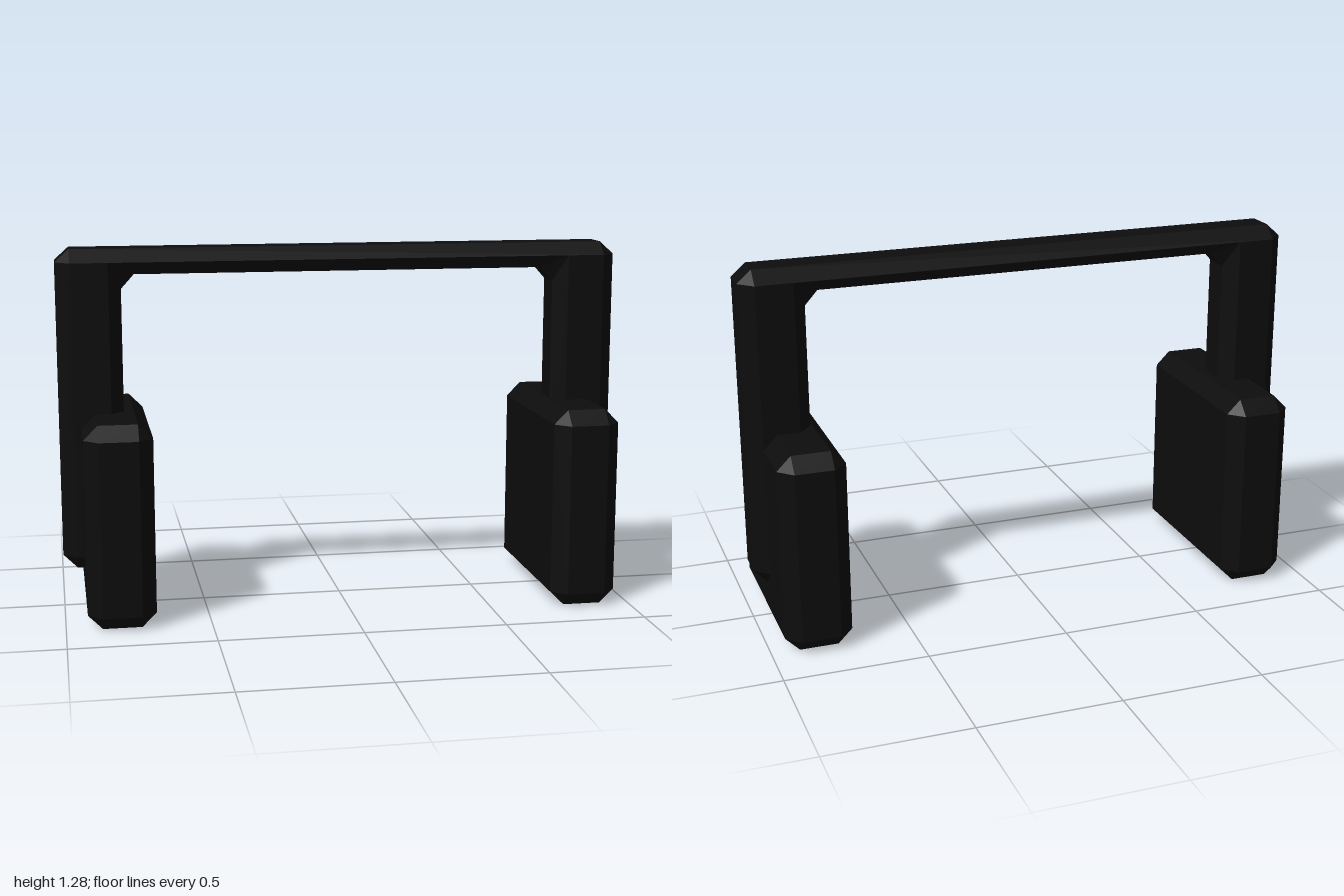
import * as THREE from 'three';
import { ConvexGeometry } from 'three/addons/geometries/ConvexGeometry.js';

const material = new THREE.MeshStandardMaterial({ color: 0x0d0d0d, flatShading: true });

// Box with every edge cut off at 45 degrees
function chamferedBox(w, h, d, c) {
  const points = [];
  for (const sx of [-1, 1]) for (const sy of [-1, 1]) for (const sz of [-1, 1]) {
    for (let axis = 0; axis < 3; axis++) {
      const inset = [c, c, c];
      inset[axis] = 0;
      points.push(new THREE.Vector3(
        sx * (w / 2 - inset[0]), sy * (h / 2 - inset[1]), sz * (d / 2 - inset[2])));
    }
  }
  return new ConvexGeometry(points);
}

// One-piece bevelled arch: the outline is wide in the middle layers and
// shrinks to the flat faces at the front and back
function archGeometry() {
  const wide = [[0.95, 1.28], [1, 1.235], [1, 0.2], [0.95, 0.15],
    [0.82, 0.15], [0.775, 0.2], [0.775, 1.14], [0.73, 1.19]];
  const face = [[0.95, 1.235], [0.95, 1.235], [0.95, 0.2], [0.95, 0.2],
    [0.82, 0.2], [0.82, 0.2], [0.82, 1.235], [0.82, 1.235]];
  const mirrored = half => [...half, ...[...half].reverse().map(([x, y]) => [-x, y])];
  const layers = [[face, -0.1], [wide, -0.05], [wide, 0.05], [face, 0.1]].map(
    ([half, z]) => mirrored(half).map(([x, y]) => new THREE.Vector3(x, y, z)));

  const positions = [];
  const tri = (a, b, c) => {
    if (new THREE.Triangle(a, b, c).getArea() < 1e-7) return;
    for (const p of [a, b, c]) positions.push(p.x, p.y, p.z);
  };
  const quad = (a, b, c, d) => { tri(a, b, c); tri(a, c, d); };

  // Bands between neighbouring layers
  for (let k = 0; k < 3; k++) {
    const [back, front] = [layers[k], layers[k + 1]];
    back.forEach((p, i) => {
      const j = (i + 1) % back.length;
      quad(p, front[i], front[j], back[j]);
    });
  }
  // Flat front and back of both arms
  for (const corners of [[1, 2, 4, 6], [9, 11, 13, 14]]) {
    quad(...corners.map(i => layers[0][i]));
    quad(...corners.map(i => layers[3][i]).reverse());
  }
  const geometry = new THREE.BufferGeometry();
  geometry.setAttribute('position', new THREE.Float32BufferAttribute(positions, 3));
  geometry.computeVertexNormals();
  return geometry;
}

export function createModel() {
  const model = new THREE.Group();
  model.name = 'headphones';

  const headband = new THREE.Mesh(archGeometry(), material);
  headband.name = 'headband';
  model.add(headband);

  // Ear cups, set slightly off the mirror positions
  const cupGeometry = chamferedBox(0.235, 0.71, 0.71, 0.05);
  for (const [name, x] of [['leftEarCup', 0.833], ['rightEarCup', -0.808]]) {
    const cup = new THREE.Mesh(cupGeometry, material);
    cup.name = name;
    cup.position.set(x, 0.355, 0);
    model.add(cup);
  }
  return model;
}
